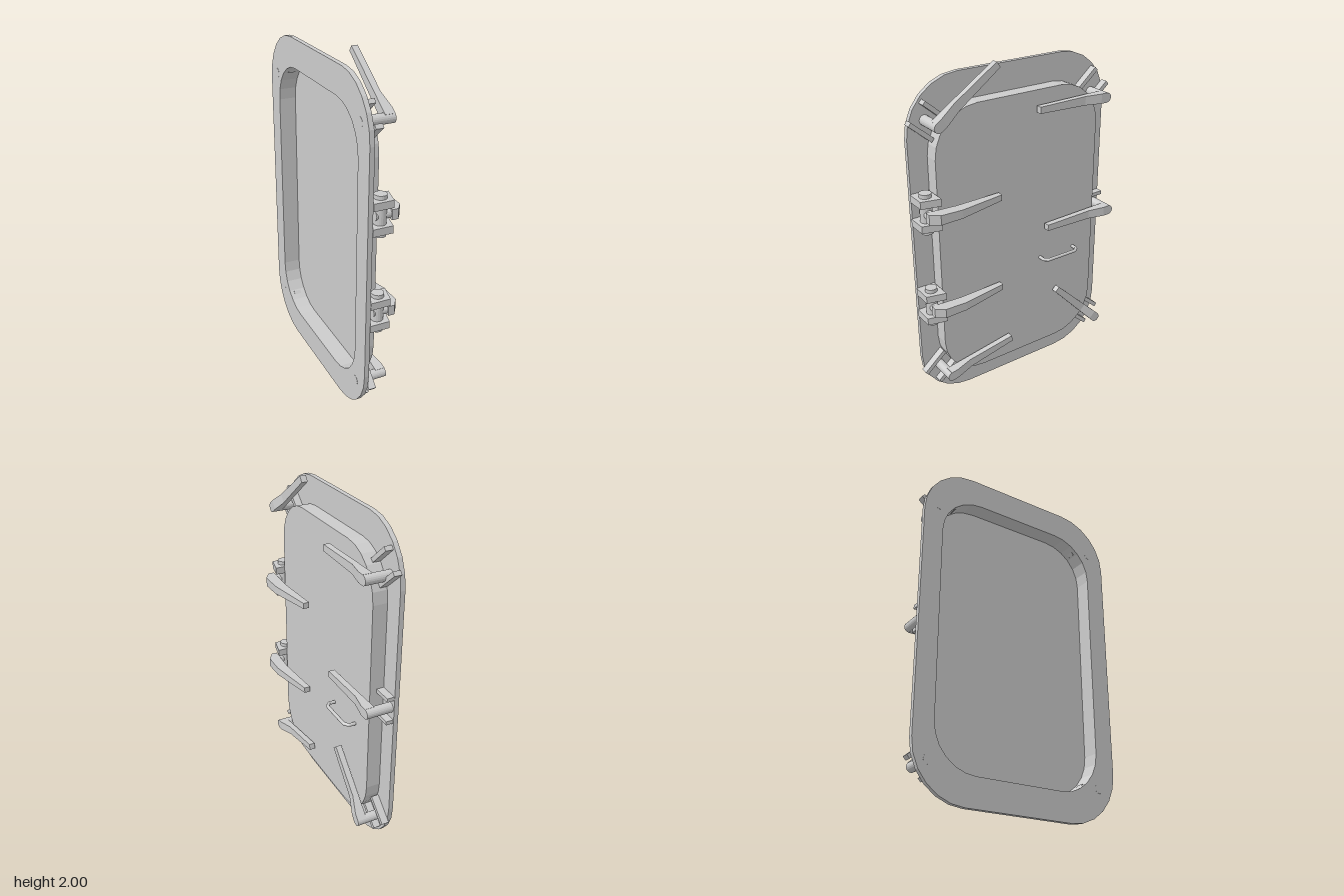
import * as THREE from 'three';

const mat = new THREE.MeshStandardMaterial({ color: 0xcccccc, flatShading: true });
const smooth = new THREE.MeshStandardMaterial({ color: 0xcccccc });
const MID = 0.975; // height of the door's centre

function add(parent, name, geo, material = mat) {
  const m = new THREE.Mesh(geo, material);
  m.name = name;
  parent.add(m);
  return m;
}

// rounded rectangle centred on the origin
function roundRect(hw, hh, r, Type = THREE.Shape) {
  const s = new Type();
  const corners = [[1, 1], [-1, 1], [-1, -1], [1, -1]];
  const pts = [];
  corners.forEach(([sx, sy], q) => {
    for (let i = 0; i <= 6; i++) {
      const a = (q + i / 6) * Math.PI / 2;
      pts.push(new THREE.Vector2(sx * (hw - r) + r * Math.cos(a), sy * (hh - r) + r * Math.sin(a)));
    }
  });
  s.setFromPoints(pts);
  return s;
}

// upright slab lying between two x positions, optionally with an opening
function slab(outer, hole, x0, x1) {
  if (hole) outer.holes.push(hole);
  const g = new THREE.ExtrudeGeometry(outer, { depth: x1 - x0, bevelEnabled: false });
  return g.rotateY(Math.PI / 2).translate(x0, MID, 0);
}

// cylinder pointing along x
function rodX(r, x0, x1, y, z) {
  return new THREE.CylinderGeometry(r, r, x1 - x0, 20).rotateZ(Math.PI / 2).translate((x0 + x1) / 2, y, z);
}

// lever: profile of [distance, x], width tapering from pivot to tip
function lever(profile, length, w0, w1, from, to) {
  const shape = new THREE.Shape(profile.map(p => new THREE.Vector2(...p)));
  const g = new THREE.ExtrudeGeometry(shape, { depth: 1, bevelEnabled: false });
  const p = g.attributes.position;
  for (let i = 0; i < p.count; i++) {
    const w = THREE.MathUtils.lerp(w0, w1, Math.max(0, p.getX(i)) / length);
    p.setZ(i, (p.getZ(i) - 0.5) * w);
  }
  const d = new THREE.Vector3(0, to[0] - from[0], to[1] - from[1]).normalize();
  const up = new THREE.Vector3(1, 0, 0);
  const m = new THREE.Matrix4().makeBasis(d, up, d.clone().cross(up)).setPosition(0, from[0], from[1]);
  g.applyMatrix4(m);
  g.computeVertexNormals();
  return g;
}

export function createModel() {
  const door = new THREE.Group();
  door.name = 'hatchDoor';

  // flange frame and hollow raised panel
  add(door, 'flange', slab(roundRect(0.64, 0.975, 0.31), roundRect(0.52, 0.81, 0.25, THREE.Path), -0.11, -0.083));
  add(door, 'panelWall', slab(roundRect(0.53, 0.82, 0.26), roundRect(0.52, 0.81, 0.25, THREE.Path), -0.083, -0.01));
  add(door, 'panelFace', slab(roundRect(0.53, 0.82, 0.26), null, -0.01, 0));

  // turning handles: pivot [y, z], tip [y, z], start of spindle
  const handles = [
    [[1.73, 0.535], [1.985, 0.17], -0.111],
    [[1.69, -0.545], [1.695, -0.095], -0.111],
    [[0.972, -0.605], [0.97, -0.16], -0.083],
    [[0.21, -0.545], [0.52, -0.24], -0.111],
    [[0.215, 0.53], [0.297, 0.098], -0.111],
  ];
  for (const [from, to, x0] of handles) {
    const g = new THREE.Group();
    g.name = 'turningHandle';
    door.add(g);
    const L = Math.hypot(to[0] - from[0], to[1] - from[1]);
    add(g, 'spindle', rodX(0.028, x0, 0.07, ...from));
    add(g, 'lever', lever([[0, 0.015], [L, 0.015], [L, 0.05], [0.14, 0.05], [0.04, 0.07], [0, 0.07]],
      L, 0.058, 0.037, from, to));
  }

  // pairs of guide strips at each corner
  for (const sy of [1, -1]) for (const sz of [1, -1]) {
    for (const [dy, z] of [[0.803, 0.49], [0.708, 0.576]]) {
      const strip = add(door, 'cornerGuide', new THREE.BoxGeometry(0.043, 0.025, 0.165));
      strip.position.set(-0.062, MID + sy * dy, sz * z);
      strip.rotation.x = -sy * sz * 0.71;
    }
  }
  // guide strips beside the middle handle
  for (const y of [1.04, 0.9]) {
    add(door, 'sideGuide', new THREE.BoxGeometry(0.043, 0.022, 0.112)).position.set(-0.062, y, -0.581);
  }

  // swing clamps on the hinge side
  for (const y of [1.253, 0.685]) {
    const clamp = new THREE.Group();
    clamp.name = 'swingClamp';
    door.add(clamp);
    const lug = new THREE.Shape([[-0.083, -0.645], [0.03, -0.645], [0.055, -0.535], [-0.083, -0.535]]
      .map(p => new THREE.Vector2(...p)));
    for (const dy of [0.072, -0.068]) {
      add(clamp, 'lug', new THREE.ExtrudeGeometry(lug, { depth: 0.042, bevelEnabled: false })
        .rotateX(-Math.PI / 2).translate(0, y + dy - 0.021, 0));
    }
    add(clamp, 'pin', new THREE.CylinderGeometry(0.034, 0.034, 0.23, 20).translate(-0.018, y, 0.59));
    add(clamp, 'eyeBolt', rodX(0.026, -0.05, 0.07, y, 0.59));
    add(clamp, 'clampLever', lever([[0, 0.035], [0.18, 0.04], [0.46, 0.015], [0.46, 0.05], [0.18, 0.105],
      [0.05, 0.105], [0, 0.07]], 0.46, 0.058, 0.035, [y, 0.62], [y - 0.002, 0.16]));
  }

  // grab rail
  const path = new THREE.CurvePath();
  const pts = [[-0.005, -0.14], [0.038, -0.14], [0.058, -0.165], [0.058, -0.36], [0.038, -0.385], [-0.005, -0.385]]
    .map(([x, z]) => new THREE.Vector3(x, 0.76, z));
  for (let i = 1; i < pts.length; i++) path.add(new THREE.LineCurve3(pts[i - 1], pts[i]));
  add(door, 'grabRail', new THREE.TubeGeometry(path, 60, 0.01, 10), smooth);

  return door;
}
